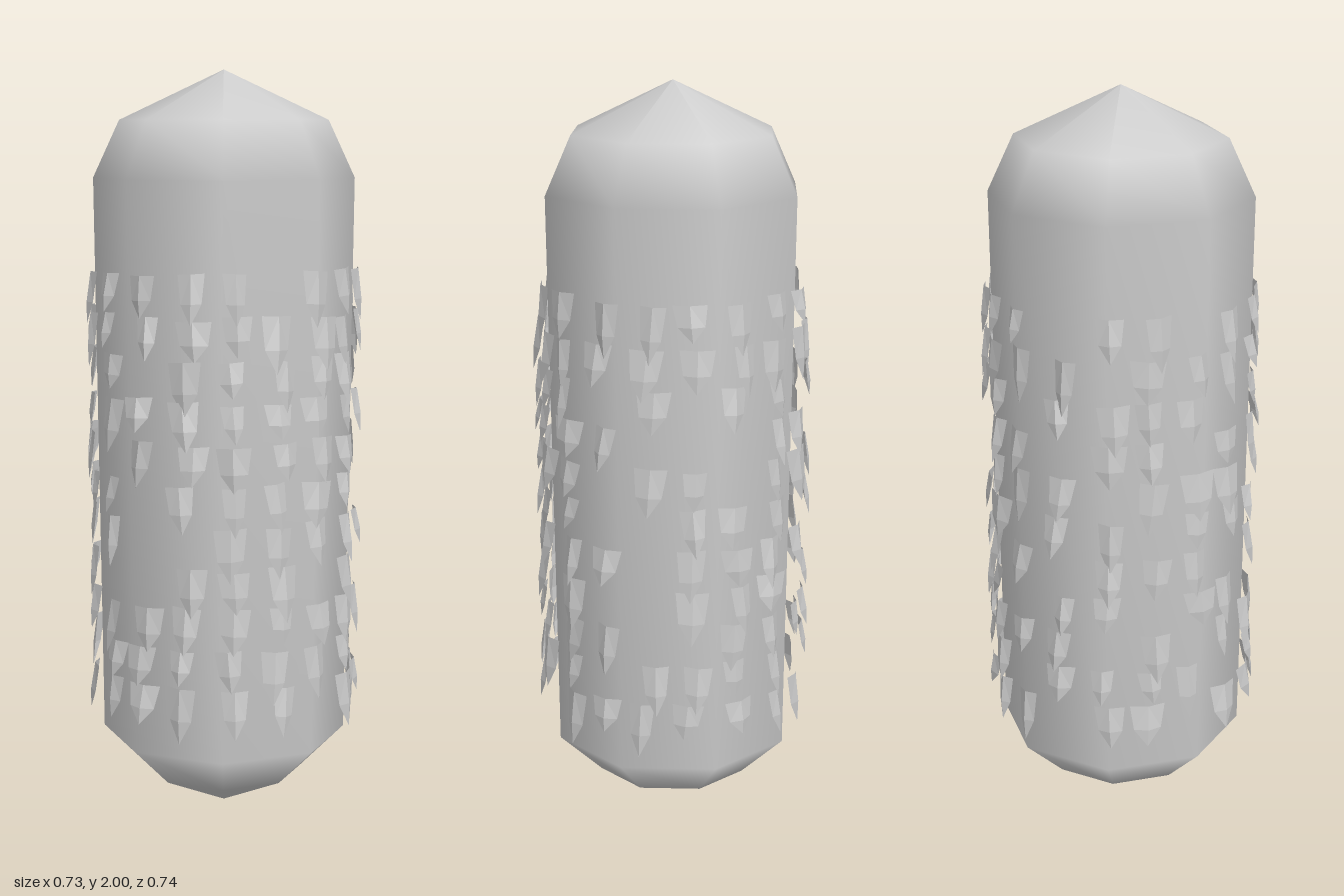
import * as THREE from 'three';

const DEG = Math.PI / 180;

// Small seeded generator for the uneven scales
function seeded(seed) {
  let s = seed;
  return () => {
    s = (s * 1664525 + 1013904223) % 4294967296;
    return s / 4294967296;
  };
}

// Shield-shaped scale: straight top edge, central ridge, pointed tip that flares outward (+z)
function scaleGeometry(w, h, flare, lean) {
  const ridge = 0.012;
  const p = [
    [-w, 0, 0], [0, 0, ridge], [w, 0, 0],
    [-w * 0.78 + lean * 0.5, -h * 0.58, flare * 0.45], [lean * 0.5, -h * 0.58, flare * 0.6 + ridge * 0.8],
    [w * 0.78 + lean * 0.5, -h * 0.58, flare * 0.45],
    [lean, -h, flare],
  ];
  const geo = new THREE.BufferGeometry();
  geo.setAttribute('position', new THREE.Float32BufferAttribute(p.flat(), 3));
  geo.setIndex([0, 3, 1, 1, 3, 4, 1, 4, 5, 1, 5, 2, 3, 6, 4, 4, 6, 5]);
  geo.computeVertexNormals();
  return geo;
}

export function createModel() {
  const model = new THREE.Group();

  // Eight-sided, smoothly shaded capsule body, slightly narrower at the bottom
  const profile = [
    [0, 0], [0.212, 0.1], [0.331, 0.215], [0.346, 1.72], [0.276, 1.87], [0, 2],
  ].map(([r, y]) => new THREE.Vector2(r, y));
  const body = new THREE.Mesh(
    new THREE.LatheGeometry(profile, 8, 26.6 * DEG, Math.PI * 2),
    new THREE.MeshStandardMaterial({ color: 0xcccccc })
  );
  body.name = 'body';
  model.add(body);

  // Rows of scales from top to bottom; 1 marks a scale in each of the 18 columns
  const rows = [
    '011111111011011111',
    '111111111101111111',
    '111010110111101011',
    '111100011011011111',
    '111011011101110111',
    '111001110110111011',
    '111101111011101001',
    '101001110110110011',
    '111100111101011111',
    '111011110111101111',
    '101111111011011111',
  ];
  const scaleMaterial = new THREE.MeshStandardMaterial({
    color: 0xcccccc, flatShading: true, side: THREE.DoubleSide,
  });
  const scales = new THREE.Group();
  scales.name = 'scales';
  const rand = seeded(7);
  const spread = (a) => (rand() * 2 - 1) * a;
  rows.forEach((row, i) => {
    [...row].forEach((mark, k) => {
      if (mark === '0') return;
      const angle = (6 + 20 * k + spread(3.5)) * DEG;
      const y = 1.485 - i * 0.107 + spread(0.008);
      const geo = scaleGeometry(0.039 + spread(0.009), 0.118 + spread(0.03), 0.02 + spread(0.006), spread(0.008));
      const scale = new THREE.Mesh(geo, scaleMaterial);
      scale.name = 'scale';
      scale.position.set(Math.sin(angle) * 0.346, y, Math.cos(angle) * 0.346);
      scale.rotation.set(0, angle + spread(0.25), spread(0.08), 'YXZ');
      scales.add(scale);
    });
  });
  model.add(scales);
  return model;
}
